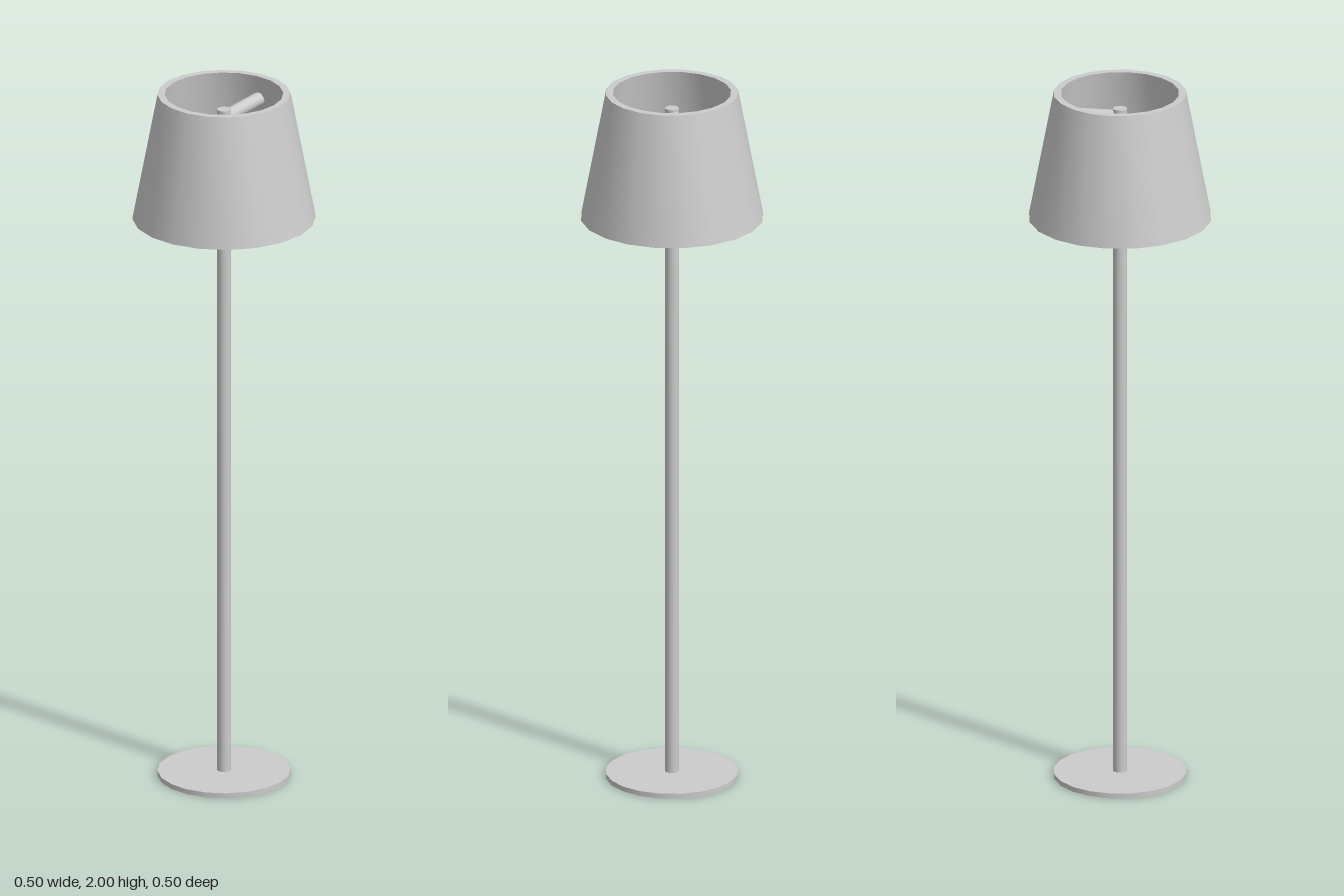
import * as THREE from 'three';
import { toCreasedNormals } from 'three/addons/utils/BufferGeometryUtils.js';

const SIDES = 20;
const material = new THREE.MeshStandardMaterial({ color: 0xcccccc });

function addPart(group, name, geometry) {
  const mesh = new THREE.Mesh(geometry, material);
  mesh.name = name;
  group.add(mesh);
  return mesh;
}

// Upright cylinder standing between two heights
function upright(radius, y0, y1) {
  return new THREE.CylinderGeometry(radius, radius, y1 - y0, SIDES).translate(0, (y0 + y1) / 2, 0);
}

export function createModel() {
  const lamp = new THREE.Group();
  lamp.name = 'floorLamp';

  // Flat disc base and slim pole
  addPart(lamp, 'base', upright(0.183, 0, 0.014));
  addPart(lamp, 'pole', upright(0.019, 0.01, 1.955));

  // Tapered shade: thick wall, open at top and bottom
  const wall = [[0.226, 1.637], [0.252, 1.637], [0.183, 2], [0.163, 2], [0.226, 1.637]]
    .map(([r, y]) => new THREE.Vector2(r, y));
  addPart(lamp, 'shade', toCreasedNormals(new THREE.LatheGeometry(wall, SIDES), 0.6));

  // Single arm from the pole back to the shade wall
  const armLength = 0.18;
  const arm = new THREE.CylinderGeometry(0.019, 0.019, armLength, SIDES)
    .rotateX(Math.PI / 2)
    .translate(0, 1.93, -armLength / 2);
  addPart(lamp, 'shadeArm', arm);

  return lamp;
}
